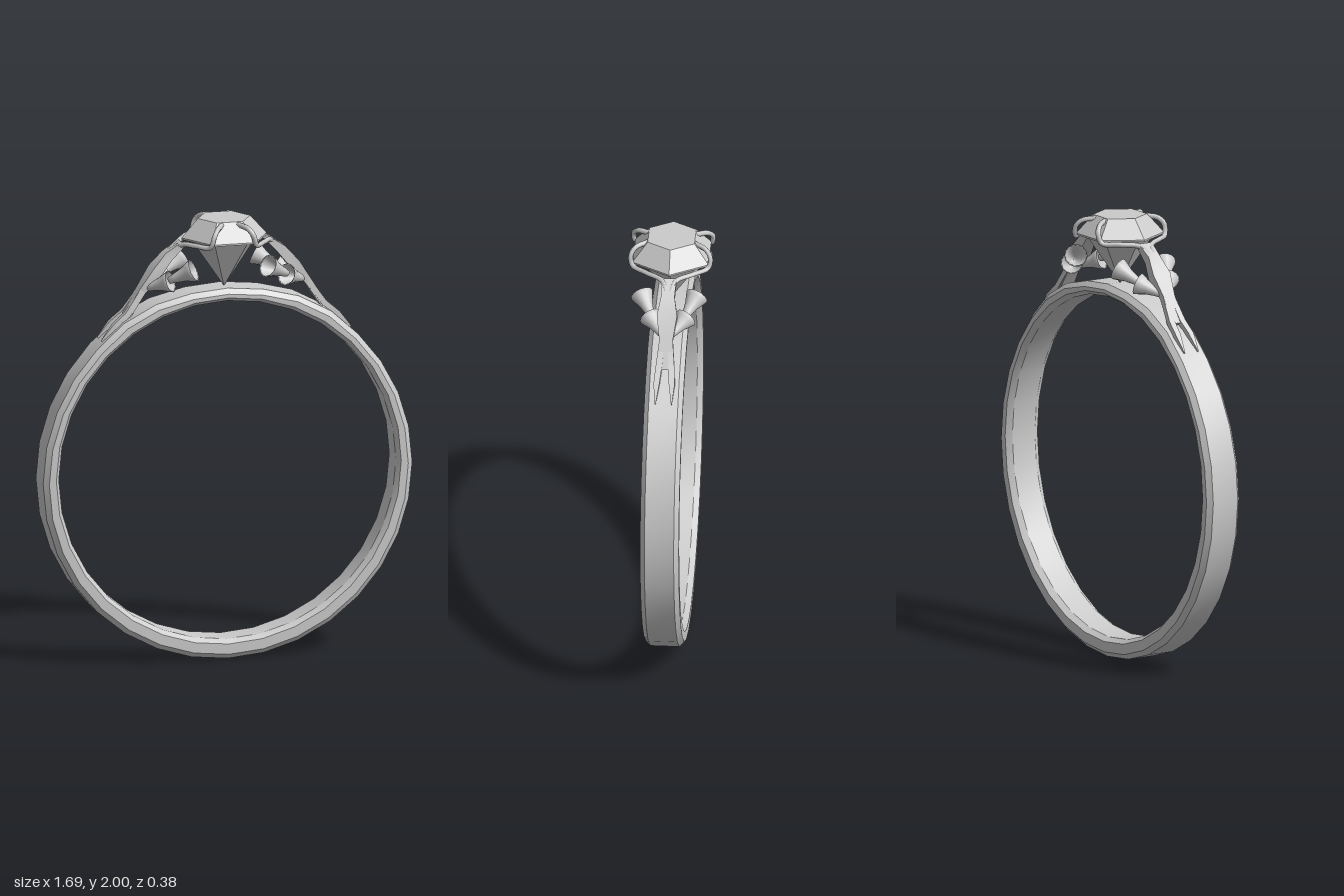
import * as THREE from 'three';
import { toCreasedNormals } from 'three/addons/utils/BufferGeometryUtils.js';

const metal = new THREE.MeshStandardMaterial({ color: 0xcccccc });
const thin = new THREE.MeshStandardMaterial({ color: 0xcccccc, side: THREE.DoubleSide });
const gemMat = new THREE.MeshStandardMaterial({ color: 0xcccccc, flatShading: true });
const V = (x, y, z) => new THREE.Vector3(x, y, z);

function add(parent, name, geometry, material = metal) {
  const mesh = new THREE.Mesh(geometry, material);
  mesh.name = name;
  parent.add(mesh);
  return mesh;
}

// Bar with a rectangular section; stations are [x, y, z, half width in z, half thickness]
function bar(stations) {
  const pos = [], idx = [], n = stations.length;
  stations.forEach(([x, y, z, w, h], i) => {
    const a = stations[Math.max(i - 1, 0)], b = stations[Math.min(i + 1, n - 1)];
    const t = new THREE.Vector2(b[0] - a[0], b[1] - a[1]).normalize();
    for (const [u, v] of [[1, 1], [-1, 1], [-1, -1], [1, -1]])
      pos.push(x + t.y * h * v, y - t.x * h * v, z + w * u);
    if (i === n - 1) return;
    for (let j = 0; j < 4; j++) {
      const p = i * 4 + j, q = i * 4 + (j + 1) % 4;
      idx.push(p, q, q + 4, p, q + 4, p + 4);
    }
  });
  const e = (n - 1) * 4;
  idx.push(0, 3, 2, 0, 2, 1, e, e + 1, e + 2, e, e + 2, e + 3);
  const g = new THREE.BufferGeometry();
  g.setAttribute('position', new THREE.Float32BufferAttribute(pos, 3));
  g.setIndex(idx);
  return toCreasedNormals(g, 0.7);
}

// Trumpet-shaped blossom opening from base towards mouth
function blossom(parent, name, base, mouth, r) {
  const L = base.distanceTo(mouth);
  const profile = [[0.001, 0], [0.3, 0.05], [0.42, 0.3], [0.6, 0.6], [0.86, 0.85], [1, 1],
    [0.86, 0.97], [0.55, 0.66], [0.3, 0.4], [0.001, 0.35]]
    .map(([a, b]) => new THREE.Vector2(a * r, b * L));
  const mesh = add(parent, name, new THREE.LatheGeometry(profile, 14), thin);
  mesh.position.copy(base);
  mesh.quaternion.setFromUnitVectors(V(0, 1, 0), mouth.clone().sub(base).normalize());
}

// Chamfered band, thinner at the top and slightly fuller where the shoulders start
function band() {
  const profile = [[0.772, -0.06], [0.79, -0.086], [0.822, -0.086], [0.845, -0.065],
    [0.845, 0.065], [0.822, 0.086], [0.79, 0.086], [0.772, 0.06], [0.772, -0.06]]
    .map(([r, z]) => new THREE.Vector2(r, z));
  const g = new THREE.LatheGeometry(profile, 32).rotateX(Math.PI / 2);
  const p = g.attributes.position;
  for (let i = 0; i < p.count; i++) {
    const x = p.getX(i), y = p.getY(i);
    if (Math.hypot(x, y) < 0.8) p.setY(i, y + 0.015);
    else {
      const a = Math.atan2(Math.abs(x), y);
      const s = 1 + 0.015 * Math.exp(-(((a - 0.5) / 0.2) ** 2));
      p.setXY(i, x * s, y * s);
    }
  }
  return toCreasedNormals(g.translate(0, 0.845, 0), 0.5);
}

// One side of the setting: strap, forked tails, claws and blossoms
function shoulder() {
  const g = new THREE.Group();
  add(g, 'strap', bar([[0.45, 1.58, 0, 0.035, 0.014], [0.38, 1.69, 0, 0.03, 0.016],
    [0.315, 1.775, 0, 0.045, 0.024], [0.26, 1.84, 0, 0.03, 0.022], [0.195, 1.895, 0, 0.035, 0.012]]));
  for (const s of [1, -1]) {
    add(g, 'strapTail', bar([[0.57, 1.475, s * 0.036, 0.002, 0.004], [0.51, 1.54, s * 0.034, 0.013, 0.012],
      [0.45, 1.59, s * 0.028, 0.014, 0.013], [0.38, 1.69, s * 0.018, 0.012, 0.013]]));
    const path = new THREE.CatmullRomCurve3([V(0.25, 1.86, s * 0.01), V(0.205, 1.892, s * 0.03),
      V(0.155, 1.9, s * 0.105), V(0.105, 1.905, s * 0.168), V(0.09, 1.95, s * 0.176),
      V(0.07, 1.978, s * 0.155), V(0.035, 1.988, s * 0.1)], false, 'centripetal');
    add(g, 'claw', new THREE.TubeGeometry(path, 28, 0.012, 6));
    const tip = add(g, 'clawTip', new THREE.SphereGeometry(0.012, 8, 6));
    tip.position.set(0.035, 1.988, s * 0.1);
    blossom(g, 'lowerBlossom', V(0.36, 1.7, s * 0.015), V(0.265, 1.74, s * 0.08), 0.05);
    blossom(g, 'upperBlossom', V(0.275, 1.74, s * 0.07), V(0.17, 1.795, s * 0.122), 0.052);
  }
  return g;
}

// Hexagonal stone with a flat table and a pointed underside
function stone() {
  const profile = [[0, 1.685], [0.15, 1.905], [0.195, 1.908], [0.195, 1.916], [0.12, 2], [0, 2]]
    .map(([r, y]) => new THREE.Vector2(r, y));
  return new THREE.LatheGeometry(profile, 6, Math.PI / 2);
}

export function createModel() {
  const model = new THREE.Group();
  model.name = 'ring';
  add(model, 'band', band());
  add(model, 'stone', stone(), gemMat);
  for (const [name, turn] of [['leftShoulder', 0], ['rightShoulder', Math.PI]]) {
    const g = shoulder();
    g.name = name;
    g.rotation.y = turn;
    model.add(g);
  }
  return model;
}
